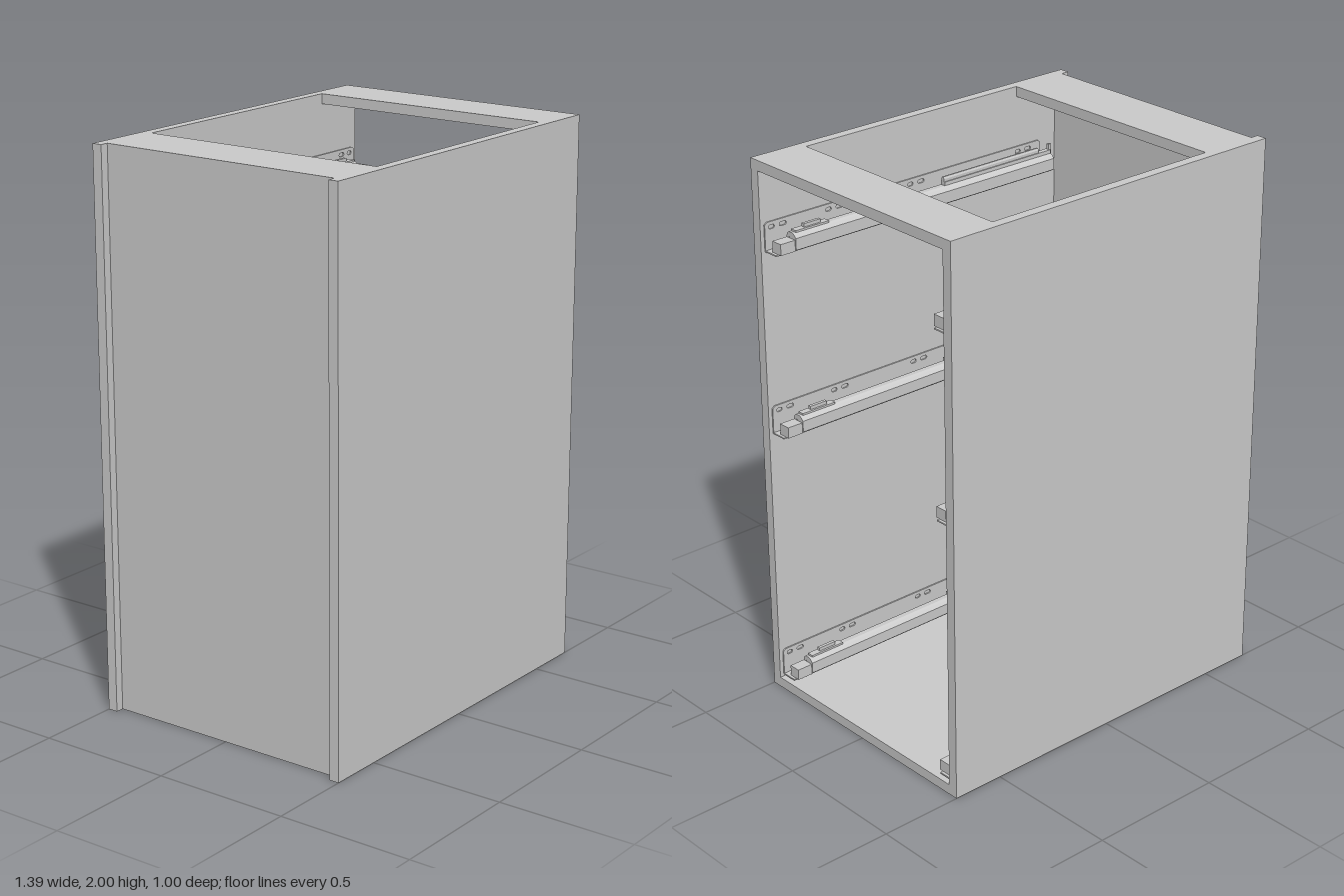
import * as THREE from 'three';

const mat = new THREE.MeshStandardMaterial({ color: 0xcccccc, flatShading: true });
const W = 0.463; // inner face of the side panels

function add(parent, name, geometry) {
  const mesh = new THREE.Mesh(geometry, mat);
  mesh.name = name;
  parent.add(mesh);
  return mesh;
}

// Box given by its limits on each axis
function box(parent, name, x0, x1, y0, y1, z0, z1) {
  const g = new THREE.BoxGeometry(x1 - x0, y1 - y0, Math.abs(z1 - z0));
  g.translate((x0 + x1) / 2, (y0 + y1) / 2, (z0 + z1) / 2);
  return add(parent, name, g);
}

// Cross-section of [distance from wall, height] points, run along x
function profile(parent, name, side, x0, x1, pts) {
  const shape = new THREE.Shape(pts.map(([d, h]) => new THREE.Vector2(-side * (W - d), h)));
  const g = new THREE.ExtrudeGeometry(shape, { depth: x1 - x0, bevelEnabled: false });
  g.rotateY(Math.PI / 2).translate(x0, 0, 0);
  return add(parent, name, g);
}

// Rounded slot used for the screw holes
function slot(x, y, length, r) {
  const p = new THREE.Path();
  p.absarc(x + length / 2, y, r, -Math.PI / 2, Math.PI / 2, false);
  p.absarc(x - length / 2, y, r, Math.PI / 2, Math.PI * 1.5, false);
  p.closePath();
  return p;
}

// Drawer runner on one wall; side is +1 or -1 along z
function runner(side, y) {
  const g = new THREE.Group();
  g.name = side > 0 ? 'frontRunner' : 'rearRunner';
  g.position.y = y;
  const part = (name, x0, x1, h0, h1, d0, d1) =>
    box(g, name, x0, x1, h0, h1, side * (W - d0), side * (W - d1));

  // Wall plate with screw slots
  const plate = new THREE.Shape([
    [-0.555, 0], [0.68, 0], [0.68, 0.095], [0.67, 0.103], [-0.545, 0.103], [-0.555, 0.095],
  ].map(([x, h]) => new THREE.Vector2(x, h)));
  for (const x of [-0.47, 0.03, 0.39, 0.63]) {
    plate.holes.push(slot(x - 0.025, 0.084, 0.015, 0.007), slot(x + 0.022, 0.084, 0.01, 0.007));
  }
  const pg = new THREE.ExtrudeGeometry(plate, { depth: 0.005, bevelEnabled: false, curveSegments: 6 });
  pg.translate(0, 0, side > 0 ? W - 0.005 : -W);
  add(g, 'wallPlate', pg);

  // Bottom flange carrying the rail
  part('flange', -0.555, 0.68, 0, 0.005, 0.005, 0.062);

  // Sliding rail: folded channel with a narrowed top and an open slot
  profile(g, 'rail', side, -0.555, 0.61, [
    [0.03, 0.01], [0.04, 0.01], [0.04, 0.045], [0.046, 0.05], [0.046, 0.014], [0.05, 0.008],
    [0.077, 0.008], [0.08, 0.012], [0.08, 0.052], [0.07, 0.062], [0.062, 0.067],
    [0.042, 0.067], [0.034, 0.06], [0.03, 0.05],
  ]);
  part('railSupport', -0.55, 0.6, 0.005, 0.01, 0.035, 0.06);

  // Closing mechanism on the back half
  part('closerBar', -0.555, -0.055, 0.067, 0.08, 0.042, 0.062);
  profile(g, 'closerRib', side, -0.5, -0.055, [
    [0.046, 0.08], [0.058, 0.08], [0.058, 0.09], [0.054, 0.097], [0.048, 0.097], [0.046, 0.092],
  ]);
  part('rearHook', -0.562, -0.55, 0.06, 0.1, 0.046, 0.056);
  part('plateTab', -0.16, -0.11, 0.05, 0.075, 0.026, 0.032);

  // Front catch and end block
  part('catchBase', 0.46, 0.6, 0.067, 0.074, 0.043, 0.068);
  part('catchLever', 0.49, 0.56, 0.074, 0.086, 0.048, 0.06);
  part('endBlock', 0.61, 0.67, 0.005, 0.045, 0.03, 0.075);
  return g;
}

export function createModel() {
  const model = new THREE.Group();
  model.name = 'drawerCabinet';

  // Carcass
  box(model, 'leftFacePanel', -0.695, 0.695, 0, 2, W, 0.5);
  box(model, 'rearFacePanel', -0.695, 0.695, 0, 2, -0.5, -W);
  box(model, 'bottomPanel', -0.665, 0.695, 0, 0.037, -W, W);
  box(model, 'backPanel', -0.665, -0.63, 0.037, 1.963, -W, W);
  box(model, 'topRailBack', -0.665, -0.445, 1.963, 2, -W, W);
  box(model, 'topRailOpening', 0.493, 0.695, 1.963, 2, -W, W);

  // Three pairs of drawer runners
  for (const y of [0.045, 1.005, 1.675]) {
    for (const side of [-1, 1]) model.add(runner(side, y));
  }
  return model;
}
